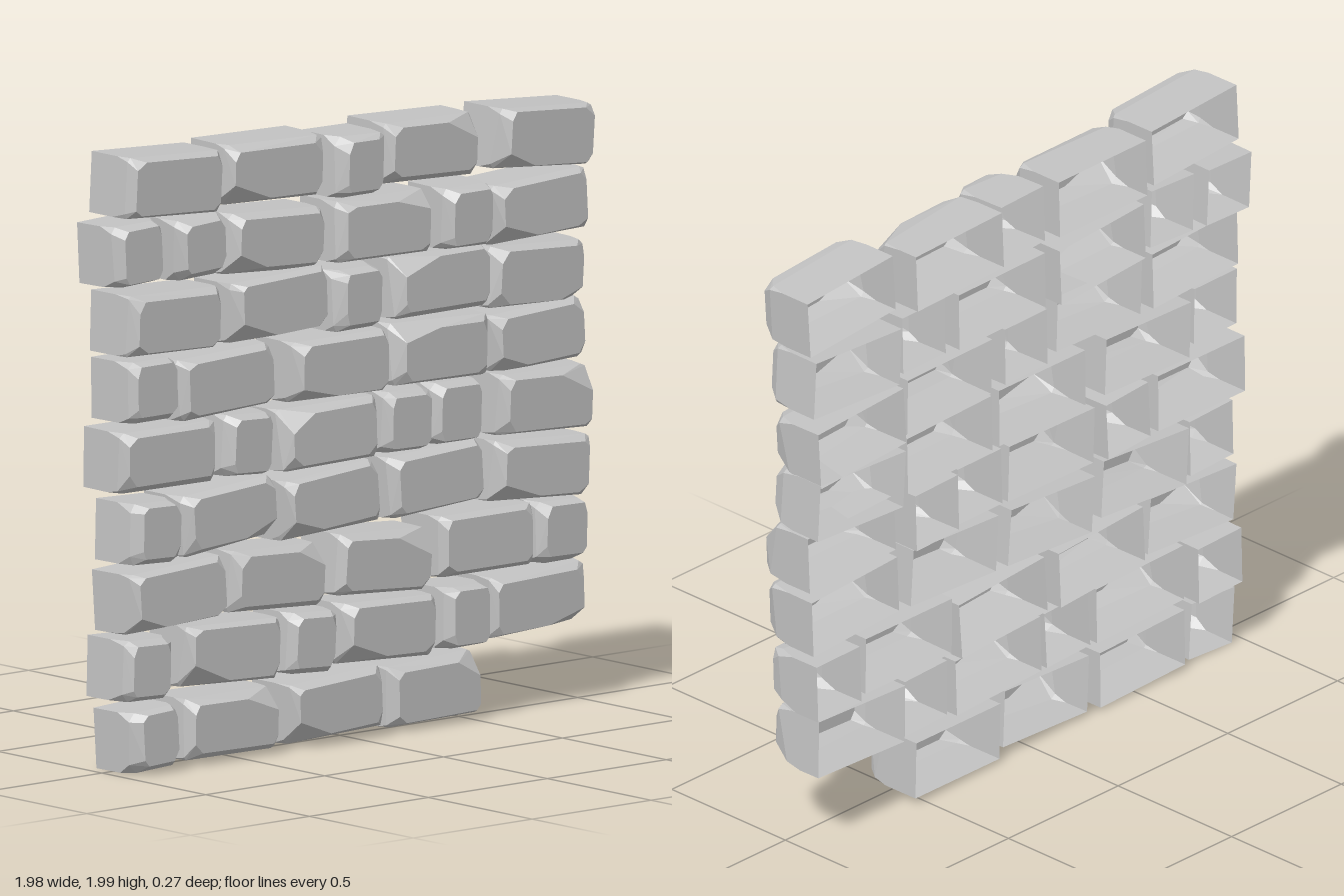
import * as THREE from 'three';
import { ConvexGeometry } from 'three/addons/geometries/ConvexGeometry.js';

const WIDE = 0.39, SMALL = 0.195, HEIGHT = 0.196, DEPTH = 0.21;

export function createModel() {
  const wall = new THREE.Group();
  wall.name = 'stoneWall';
  const stoneGrey = new THREE.MeshStandardMaterial({ color: 0xc3c3c3, side: THREE.DoubleSide });
  stoneGrey.name = 'stoneGrey';

  // small seeded generator for the chipped edges
  let seed = 11;
  const rand = (a, b) => {
    seed = (seed * 16807) % 2147483647;
    return a + (b - a) * (seed / 2147483647);
  };

  // chiselled block with an open back; cuts lists the corners with a large chip
  function stoneGeometry(w, h, cuts) {
    const zb = -DEPTH / 2, zf = DEPTH / 2, X = w / 2, Y = h / 2;
    const small = w < 0.3, points = [];
    const inset = {
      l: rand(0.012, 0.028), r: rand(0.012, 0.028),
      t: rand(0.008, 0.02), b: rand(0.012, 0.026),
    };
    for (const [v, sy] of [['t', 1], ['b', -1]]) {
      for (const [u, sx] of [['l', -1], ['r', 1]]) {
        const big = cuts.includes(v + u);
        const cx = big ? rand(0.09, 0.15) : rand(0.015, 0.04);
        const cy = big ? rand(0.035, 0.06) : rand(0.015, 0.04);
        const ex = small ? rand(0.01, 0.04) : rand(0.005, 0.02);
        const ey = small ? rand(0.01, 0.03) : rand(0.005, 0.02);
        const d = big ? 0.07 : rand(0.03, 0.05);
        const fx = X - inset[u], fy = Y - inset[v];
        const add = (x, y, z) => points.push(new THREE.Vector3(sx * x, sy * y, z));
        add(X, Y, zb);                                   // back corner
        add(X, Y, zf - d - rand(0.04, 0.07));            // end of the corner edge
        add(X - ex, Y, zf - d);                          // bevel shoulder
        add(X, Y - ey, zf - d);
        add(fx - cx * (small ? 0.6 : 1), fy, zf);        // front face corner
        add(fx, fy - cy, zf);
      }
    }
    // remove the back so that the block is a hollow shell
    const geo = new ConvexGeometry(points);
    const pos = geo.getAttribute('position'), kept = [];
    for (let i = 0; i < pos.count; i += 3) {
      if ([0, 1, 2].every((k) => pos.getZ(i + k) < zb + 1e-5)) continue;
      for (let k = 0; k < 3; k++) kept.push(pos.getX(i + k), pos.getY(i + k), pos.getZ(i + k));
    }
    const shell = new THREE.BufferGeometry();
    shell.setAttribute('position', new THREE.Float32BufferAttribute(kept, 3));
    shell.computeVertexNormals();
    return shell;
  }

  // each stone: centre x, centre y, tilt in degrees, width, chipped corners, optional z
  function course(name, stones) {
    const group = new THREE.Group();
    group.name = name;
    stones.forEach(([x, y, tilt, w, cuts = '', z = rand(-0.02, 0.02)], i) => {
      const mesh = new THREE.Mesh(stoneGeometry(w, HEIGHT, cuts), stoneGrey);
      mesh.name = `${w === WIDE ? 'wideStone' : 'smallStone'}${i + 1}`;
      mesh.position.set(x, y, z);
      mesh.rotation.set(rand(-0.02, 0.02), rand(-0.02, 0.02), THREE.MathUtils.degToRad(tilt));
      group.add(mesh);
    });
    wall.add(group);
  }

  course('course9', [
    [-0.78, 1.892, -3, WIDE, '', 0.02], [-0.33, 1.88, -1, WIDE, 'bl', -0.012],
    [0, 1.862, -1, SMALL, '', 0.025], [0.33, 1.868, -2, WIDE, 'tr', -0.018],
    [0.777, 1.86, -4, WIDE, 'bl', 0.028],
  ]);
  course('course8', [
    [-0.893, 1.675, 2, SMALL, '', -0.02], [-0.655, 1.675, 3, SMALL],
    [-0.322, 1.65, -3, WIDE, 'bl'], [0.12, 1.645, -1, WIDE, 'tr'],
    [0.46, 1.64, 0, SMALL], [0.777, 1.63, 3, WIDE, 'bl', 0],
  ]);
  course('course7', [
    [-0.78, 1.45, -2, WIDE, '', 0.02], [-0.34, 1.45, 2, WIDE, 'bl'],
    [0, 1.43, 0, SMALL], [0.37, 1.435, 0, WIDE, 'tl'],
    [0.785, 1.41, -3, WIDE, 'br', -0.027],
  ]);
  course('course6', [
    [-0.88, 1.242, 0, SMALL, '', 0.028], [-0.545, 1.225, 2, WIDE],
    [-0.075, 1.22, 0, WIDE, 'bl'], [0.36, 1.22, -1, WIDE, 'tl'],
    [0.787, 1.207, 3, WIDE, 'bl', -0.027],
  ]);
  course('course5', [
    [-0.785, 1.012, 0, WIDE, '', -0.005], [-0.44, 1.01, -3, SMALL],
    [-0.113, 1.007, 1, WIDE, 'tl'], [0.21, 1.012, -1, SMALL],
    [0.435, 1.01, -1, SMALL], [0.775, 1.01, -2, WIDE, 'tr', 0.028],
  ]);
  course('course4', [
    [-0.86, 0.78, -2, SMALL, '', 0.025], [-0.525, 0.79, 4, WIDE, 'br'],
    [-0.09, 0.785, 4, WIDE, 'bl'], [0.345, 0.805, 3, WIDE],
    [0.77, 0.79, -3, WIDE, 'bl', 0.018],
  ]);
  course('course3', [
    [-0.765, 0.565, 3, WIDE, 'bl', 0.018], [-0.325, 0.565, -3, WIDE, 'tr'],
    [0.135, 0.56, -4, WIDE, 'tr'], [0.555, 0.58, 0, WIDE],
    [0.888, 0.57, -1, SMALL, '', -0.025],
  ]);
  course('course2', [
    [-0.865, 0.335, -2, SMALL, '', -0.01], [-0.525, 0.352, -2, WIDE, 'bl'],
    [-0.195, 0.347, -3, SMALL], [0.135, 0.345, -2, WIDE, 'bl'],
    [0.46, 0.35, -1, SMALL], [0.785, 0.362, 2, WIDE, 'br', -0.025],
  ]);
  course('course1', [
    [-0.865, 0.115, 3, SMALL, '', 0.028], [-0.525, 0.122, -1, WIDE, 'tr'],
    [-0.09, 0.13, 3, WIDE, 'bl'], [0.34, 0.125, 1, WIDE, 'tr'],
  ]);
  return wall;
}
